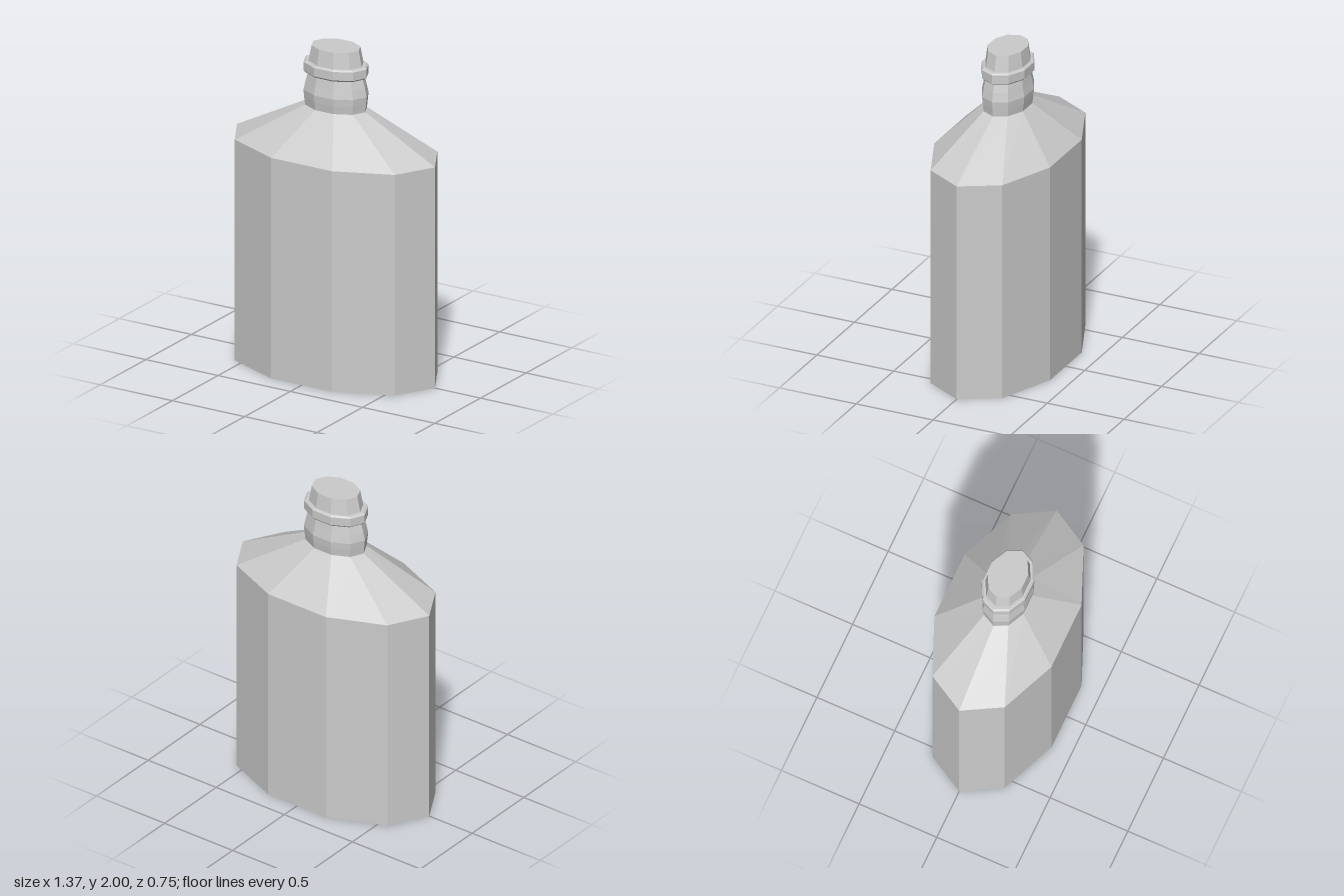
import * as THREE from 'three';

const SIDES = 10;

// Lofts a closed solid through ten-sided oval sections [y, radiusX, radiusZ]
function loft(name, sections, material) {
  const point = ([y, rx, rz], j) => {
    const a = ((j % SIDES) / SIDES) * Math.PI * 2;
    return [rx * Math.cos(a), y, rz * Math.sin(a)];
  };
  const positions = [];
  for (let i = 0; i < sections.length - 1; i++) {
    const low = sections[i], high = sections[i + 1];
    for (let j = 0; j < SIDES; j++) {
      const a = point(low, j), b = point(low, j + 1);
      const c = point(high, j), d = point(high, j + 1);
      if (low[1] > 0) positions.push(...a, ...c, ...b);
      if (high[1] > 0) positions.push(...b, ...c, ...d);
    }
  }
  const geometry = new THREE.BufferGeometry();
  geometry.setAttribute('position', new THREE.Float32BufferAttribute(positions, 3));
  geometry.computeVertexNormals();
  const mesh = new THREE.Mesh(geometry, material);
  mesh.name = name;
  return mesh;
}

export function createModel() {
  const group = new THREE.Group();
  group.name = 'flask';
  const grey = new THREE.MeshStandardMaterial({ color: 0xcccccc, flatShading: true });

  group.add(
    // Body with recessed base and sloping shoulders
    loft('body', [
      [0.09, 0, 0],
      [0.09, 0.615, 0.355],
      [0, 0.615, 0.355],
      [0, 0.685, 0.396],
      [1.377, 0.685, 0.396],
      [1.626, 0.204, 0.134],
      [1.626, 0, 0],
    ], grey),
    // Bulging neck
    loft('neck', [
      [1.626, 0, 0],
      [1.626, 0.203, 0.134],
      [1.675, 0.208, 0.141],
      [1.72, 0.212, 0.145],
      [1.775, 0.2, 0.134],
      [1.835, 0.182, 0.124],
      [1.835, 0, 0],
    ], grey),
    // Bevelled ring around the neck
    loft('collar', [
      [1.83, 0, 0],
      [1.83, 0.2, 0.138],
      [1.84, 0.211, 0.147],
      [1.893, 0.211, 0.147],
      [1.902, 0.2, 0.138],
      [1.902, 0, 0],
    ], grey),
    // Tapered stopper
    loft('stopper', [
      [1.9, 0, 0],
      [1.9, 0.178, 0.127],
      [2, 0.157, 0.114],
      [2, 0, 0],
    ], grey),
  );
  return group;
}
